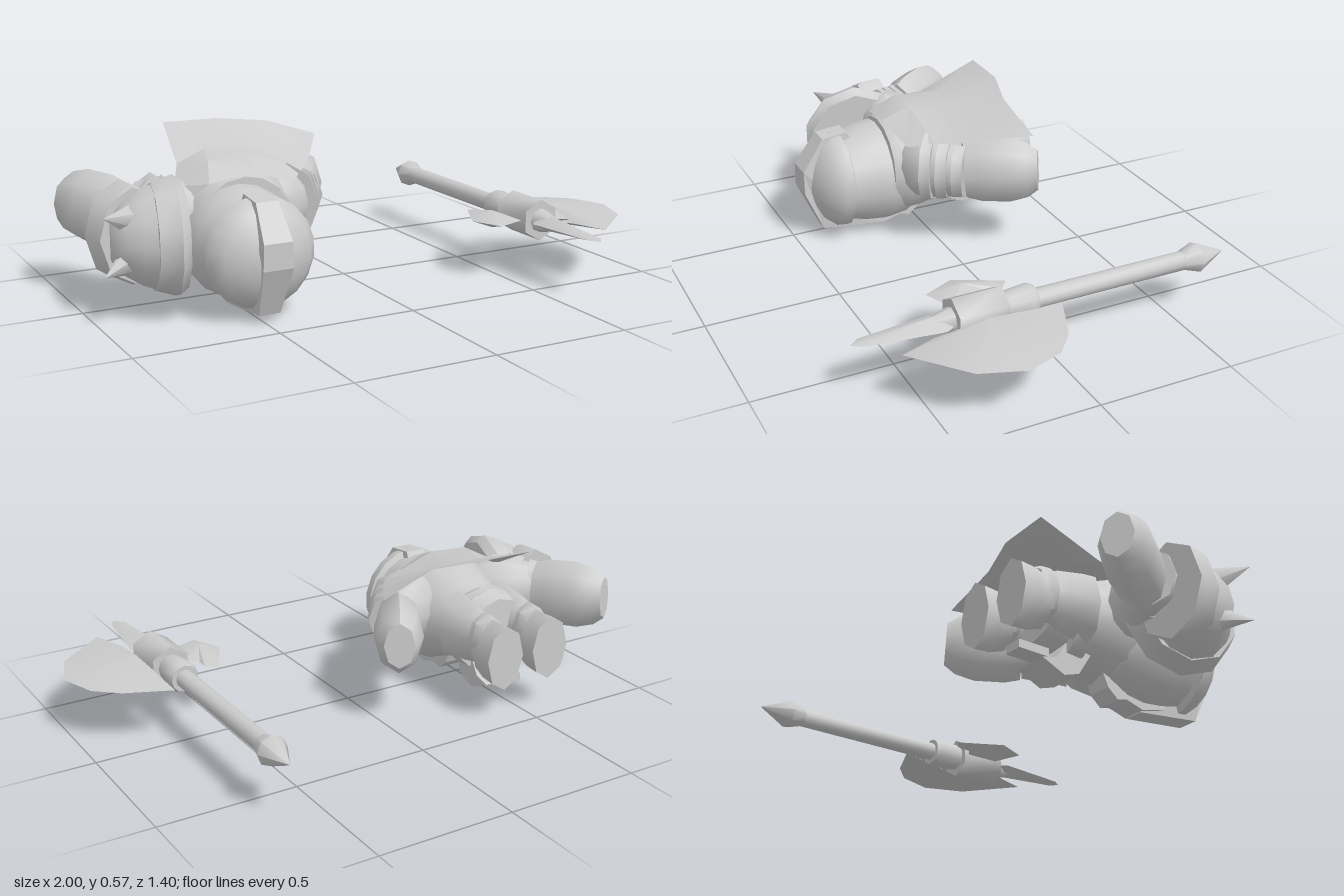
import * as THREE from 'three';
import { toCreasedNormals } from 'three/addons/utils/BufferGeometryUtils.js';

const V = (p) => new THREE.Vector3(...p);
const UP = new THREE.Vector3(0, 1, 0);

export function createModel() {
  const root = new THREE.Group();
  const warrior = new THREE.Group();
  warrior.name = 'fallenWarrior';
  const axe = new THREE.Group();
  axe.name = 'battleAxe';
  root.add(warrior, axe);
  const mat = new THREE.MeshStandardMaterial({ color: 0xcccccc, side: THREE.DoubleSide });

  function add(parent, name, geo, crease = 0.85) {
    const mesh = new THREE.Mesh(toCreasedNormals(geo, crease), mat);
    mesh.name = name;
    parent.add(mesh);
    return mesh;
  }

  // Turned part from a to b; profile holds [fraction along, radius], ends are capped.
  // wide and tall stretch the cross-section sideways and upwards.
  function turned(parent, name, a, b, profile, sides = 12, wide = 1, tall = 1) {
    const from = V(a), dir = V(b).sub(from), len = dir.length();
    dir.normalize();
    const pts = [[profile[0][0], 0], ...profile, [profile[profile.length - 1][0], 0]];
    const geo = new THREE.LatheGeometry(pts.map(([t, r]) => new THREE.Vector2(r, t * len)), sides);
    geo.scale(wide, 1, tall);
    const side = dir.clone().cross(UP).normalize();
    const basis = new THREE.Matrix4().makeBasis(side, dir, side.clone().cross(dir));
    geo.applyMatrix4(basis.setPosition(from));
    return add(parent, name, geo, sides < 8 ? 1.1 : 0.85);
  }

  // Side profile of [z, y] points given a width in x
  function sideCut(parent, name, pts, cx, width) {
    const shape = new THREE.Shape(pts.map(([z, y]) => new THREE.Vector2(z, y)));
    const geo = new THREE.ExtrudeGeometry(shape, { depth: width, bevelEnabled: false });
    geo.rotateY(-Math.PI / 2).translate(cx + width / 2, 0, 0);
    return add(parent, name, geo, 0.4);
  }

  // Flat blade of [x, z] points, swelling to a thick apex on both faces
  function blade(name, outline, apex, y, thick) {
    const pos = [];
    outline.forEach(([x, z], i) => {
      const [x2, z2] = outline[(i + 1) % outline.length];
      pos.push(x, y, z, apex[0], y + thick, apex[1], x2, y, z2);
      pos.push(x2, y, z2, apex[0], y - thick, apex[1], x, y, z);
    });
    const geo = new THREE.BufferGeometry();
    geo.setAttribute('position', new THREE.Float32BufferAttribute(pos, 3));
    return add(axe, name, geo, 0.5);
  }

  // Axe
  const ax = 0.635, ay = 0.208;
  const along = (name, z0, z1, profile, sides) =>
    turned(axe, name, [ax, ay, z0], [ax, ay, z1], profile, sides);
  along('pommel', -0.7, -0.53, [[0, 0.003], [0.64, 0.055], [1, 0.034]], 8);
  along('shaft', -0.54, 0.06, [[0, 0.034], [1, 0.034]]);
  along('collar', 0.05, 0.18, [[0, 0.05], [0.15, 0.058], [0.85, 0.05], [1, 0.045]]);
  along('axeSocket', 0.17, 0.35, [[0, 0.077], [1, 0.077]], 6);
  along('spearCore', 0.35, 0.52, [[0, 0.045], [1, 0.002]], 8);
  blade('largeBlade', [[0.705, -0.02], [0.87, 0.05], [0.955, 0.125], [1, 0.26],
    [0.945, 0.415], [0.755, 0.575], [0.71, 0.445], [0.75, 0.4], [0.7, 0.36], [0.7, 0.17], [0.75, 0.13]],
  [0.73, 0.26], ay, 0.036);
  blade('smallBlade', [[0.57, 0.19], [0.527, 0.16], [0.53, 0.11], [0.49, 0.08], [0.405, 0.245],
    [0.457, 0.36], [0.57, 0.32]], [0.49, 0.245], ay, 0.032);
  blade('spearBlade', [[0.607, 0.34], [0.575, 0.39], [0.608, 0.665], [0.635, 0.7], [0.662, 0.665],
    [0.697, 0.39], [0.663, 0.34]], [0.635, 0.4], ay, 0.03);

  // Torso, waist and belt, lying along z
  const cx = -0.485;
  turned(warrior, 'torso', [-0.46, 0.27, -0.17], [-0.46, 0.27, 0.15],
    [[0, 0.14], [0.15, 0.155], [0.55, 0.205], [0.8, 0.21], [1, 0.18]], 16, 1, 0.98);
  turned(warrior, 'waist', [cx, 0.27, -0.28], [cx, 0.26, -0.13],
    [[0, 0.12], [0.4, 0.145], [0.45, 0.13], [1, 0.15]]);
  turned(warrior, 'belt', [cx, 0.25, -0.2], [cx, 0.25, -0.14], [[0, 0.155], [1, 0.16]]);
  sideCut(warrior, 'loincloth', [[-0.1, 0.13], [-0.15, 0.05], [-0.21, 0.03], [-0.3, 0.07],
    [-0.24, 0.085], [-0.2, 0.15]], cx, 0.13);
  sideCut(warrior, 'beltPlate', [[-0.25, 0.095], [-0.37, 0.095], [-0.37, 0.125], [-0.25, 0.125]], cx, 0.07);

  // Helmet with brow band, ridge and jaw
  turned(warrior, 'helmet', [cx, 0.225, 0], [cx, 0.225, 0.44],
    [[0, 0.15], [0.17, 0.19], [0.33, 0.2], [0.5, 0.192], [0.68, 0.172], [0.7, 0.194], [0.78, 0.19],
      [0.88, 0.155], [0.95, 0.1], [1, 0.04]], 18);
  const ridge = sideCut(warrior, 'helmetRidge', [[0.26, 0.38], [0.28, 0.42], [0.38, 0.41], [0.465, 0.29],
    [0.465, 0.2], [0.39, 0.03], [0.14, 0], [0.13, 0.07], [0.33, 0.09], [0.4, 0.22], [0.34, 0.35]], 0, 0.1);
  // The ridge narrows towards its upper and lower ends
  const rp = ridge.geometry.attributes.position;
  for (let i = 0; i < rp.count; i++) {
    const spread = Math.abs(rp.getY(i) - 0.23);
    rp.setX(i, cx + rp.getX(i) * (1.15 - 1.9 * spread));
  }
  ridge.geometry.computeVertexNormals();
  sideCut(warrior, 'jawGuard', [[0.24, 0.1], [0.24, 0.03], [0.14, 0.005], [0.07, 0.025], [0.03, 0.015],
    [-0.01, 0.05], [-0.04, 0.12]], cx, 0.09);

  // Legs, each a boot, knee band and thigh with tall cross-sections
  for (const s of [-1, 1]) {
    const x = cx + s * 0.1;
    const leg = (name, y, z0, z1, p) =>
      turned(warrior, name, [x, y, z0], [x, y, z1], p, 8, 0.64, 1);
    leg('boot', 0.24, -0.45, -0.33, [[0, 0.122], [0.5, 0.117], [1, 0.095]]);
    leg('kneeBand', 0.27, -0.36, -0.3, [[0, 0.09], [0.5, 0.105], [1, 0.095]]);
    leg('thigh', 0.27, -0.31, -0.15, [[0, 0.085], [0.3, 0.11], [1, 0.135]]);
  }

  // Arms: shoulder, layered bands and a deep gauntlet
  for (const s of [-1, 1]) {
    const p = (dx, y, z) => [cx + s * dx, y, z];
    turned(warrior, 'shoulder', p(0.12, 0.31, 0.06), p(0.35, 0.305, -0.06),
      [[0, 0.08], [0.3, 0.115], [0.6, 0.105], [1, 0.075]], 12, 1, 1.2);
    for (let i = 0; i < 3; i++) {
      const dx = 0.235 + i * 0.043, z = 0.04 - i * 0.043, r = 0.115 - i * 0.013;
      turned(warrior, 'armBand', p(dx, 0.31, z), p(dx + 0.024, 0.31, z - 0.03),
        [[0, r], [1, r * 0.93]], 8, 1, 1.25);
    }
    turned(warrior, 'gauntlet', p(0.325, 0.305, -0.09), p(0.467, 0.32, -0.32),
      [[0, 0.078], [0.2, 0.088], [0.6, 0.09], [0.85, 0.077], [1, 0.056]], 8, 1, 1.48);
  }

  // Spiked shoulder plates on the right arm
  turned(warrior, 'pauldronRim', [-0.69, 0.27, 0.145], [-0.79, 0.27, 0.125],
    [[0, 0.185], [0.3, 0.21], [1, 0.185]], 10);
  turned(warrior, 'pauldron', [-0.76, 0.27, 0.13], [-0.925, 0.27, 0.095],
    [[0, 0.175], [0.4, 0.15], [0.75, 0.115], [1, 0.065]], 12, 1, 1.1);
  turned(warrior, 'pauldronBand', [-0.837, 0.27, 0.08], [-0.852, 0.27, -0.02],
    [[0, 0.125], [0.2, 0.132], [1, 0.132]], 8, 1, 1.33);
  for (const [y, tipY] of [[0.34, 0.375], [0.215, 0.18]])
    turned(warrior, 'pauldronSpike', [-0.845, y, 0.135], [-0.985, tipY, 0.22], [[0, 0.065], [1, 0.001]], 6);

  // Cape spread over the back, rows from neck to hem
  const rows = [
    [[-0.67, 0.35, 0.07], [-0.585, 0.43, 0.135], [-0.42, 0.455, 0.145], [-0.26, 0.4, 0.11]],
    [[-0.67, 0.41, 0.03], [-0.55, 0.49, 0.04], [-0.4, 0.5, 0.04], [-0.18, 0.43, 0.03]],
    [[-0.61, 0.46, -0.1], [-0.5, 0.5, -0.12], [-0.33, 0.5, -0.12], [-0.1, 0.445, -0.08]],
    [[-0.575, 0.57, -0.32], [-0.37, 0.57, -0.315], [-0.19, 0.555, -0.26], [0.02, 0.485, -0.275]],
  ];
  const index = [];
  for (let r = 0; r < 3; r++)
    for (let c = 0; c < 3; c++) {
      const a = r * 4 + c, b = a + 4;
      index.push(a, a + 1, b, a + 1, b + 1, b);
    }
  const cape = new THREE.BufferGeometry();
  cape.setAttribute('position', new THREE.Float32BufferAttribute(rows.flat(2), 3));
  cape.setIndex(index);
  add(warrior, 'cape', cape, 0.4);

  return root;
}
